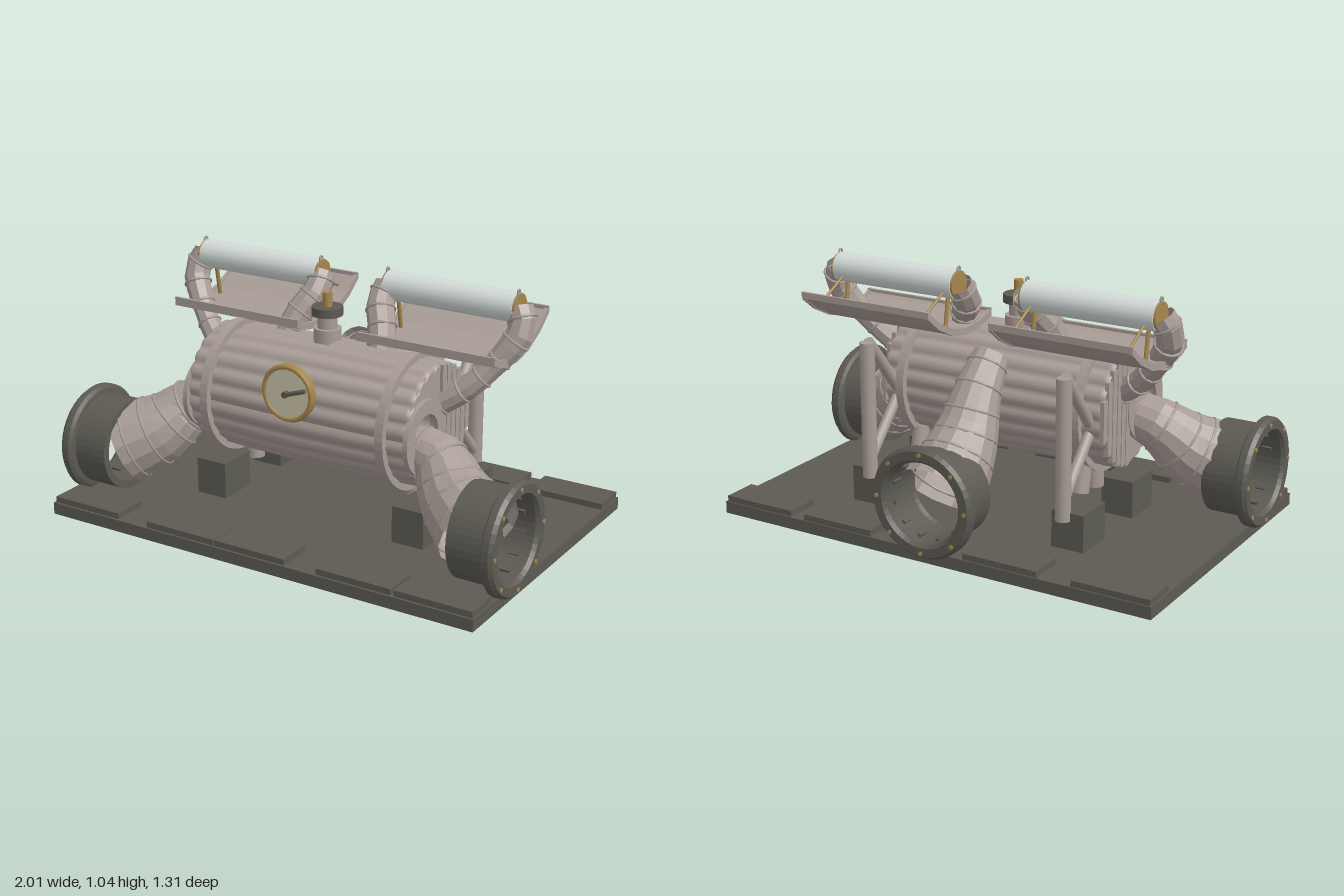
import * as THREE from 'three';

const V = (x, y, z) => new THREE.Vector3(x, y, z);
const mat = (name, color, side = THREE.FrontSide) => {
  const m = new THREE.MeshStandardMaterial({ color, side });
  m.name = name;
  return m;
};

export function createModel() {
  const model = new THREE.Group();
  model.name = 'boilerMachine';
  const steel = mat('warm grey steel', 0xa89c96, THREE.DoubleSide);
  const iron = mat('dark iron', 0x5c5a52, THREE.DoubleSide);
  const brass = mat('brass', 0xa5874c);
  const glass = mat('pale glass', 0xd3dbd8);
  const cream = mat('cream dial', 0xcbc6aa);

  const add = (name, geo, material, x = 0, y = 0, z = 0, parent = model) => {
    const m = new THREE.Mesh(geo, material);
    m.name = name;
    m.position.set(x, y, z);
    parent.add(m);
    return m;
  };
  const box = (name, material, w, h, d, x, y, z) =>
    add(name, new THREE.BoxGeometry(w, h, d), material, x, y, z);
  const flat = (geo) => {
    const g = geo.toNonIndexed();
    g.computeVertexNormals();
    return g;
  };
  // Straight rod between two points
  const rod = (name, material, a, b, r, sides = 12) => {
    const m = add(name, new THREE.CylinderGeometry(r, r, a.distanceTo(b), sides), material);
    m.position.copy(a).lerp(b, 0.5);
    m.quaternion.setFromUnitVectors(V(0, 1, 0), b.clone().sub(a).normalize());
  };
  // Faceted pipe of varying radius with thin seam hoops
  const pipe = (name, points, radii, sides, segments, hoops) => {
    const g = new THREE.Group();
    g.name = name;
    model.add(g);
    const curve = new THREE.CatmullRomCurve3(points);
    const radiusAt = (t) => {
      const f = t * (radii.length - 1), i = Math.min(Math.floor(f), radii.length - 2);
      return THREE.MathUtils.lerp(radii[i], radii[i + 1], f - i);
    };
    const geo = new THREE.TubeGeometry(curve, segments, 1, sides);
    const p = geo.attributes.position, v = V(0, 0, 0);
    for (let i = 0; i < p.count; i++) {
      const t = Math.floor(i / (sides + 1)) / segments, c = curve.getPointAt(t);
      v.fromBufferAttribute(p, i).sub(c).multiplyScalar(radiusAt(t)).add(c);
      p.setXYZ(i, v.x, v.y, v.z);
    }
    add('pipeWall', flat(geo), steel, 0, 0, 0, g);
    for (let k = 0; k < hoops; k++) {
      const t = (k + 0.5) / hoops, c = curve.getPointAt(t);
      const h = add('seamHoop', new THREE.TorusGeometry(radiusAt(t) * 0.98, 0.006, 6, 24), steel, c.x, c.y, c.z, g);
      h.quaternion.setFromUnitVectors(V(0, 0, 1), curve.getTangentAt(t));
    }
  };

  // Base plate and raised pads
  box('basePlate', iron, 1.95, 0.05, 1.285, 0, 0.025, 0.01);
  for (const x of [-0.805, -0.335, -0.005, 0.465, 0.805]) box('frontPad', iron, 0.325, 0.025, 0.15, x, 0.0625, 0.568);
  for (const x of [-0.805, -0.335, 0.415, 0.805]) box('rearPad', iron, 0.325, 0.025, 0.15, x, 0.0625, -0.552);

  // Boiler barrel with bulging staves
  const BY = 0.515, BZ = 0.09, STAVES = 22;
  const profile = [[0.235, -0.51], [0.25, -0.49], [0.257, -0.25], [0.261, 0], [0.257, 0.25], [0.25, 0.49], [0.235, 0.51]];
  const barrel = new THREE.LatheGeometry(profile.map(([r, y]) => new THREE.Vector2(r, y)), STAVES * 6);
  const bp = barrel.attributes.position;
  for (let i = 0; i < bp.count; i++) {
    const a = Math.atan2(bp.getX(i), bp.getZ(i));
    const k = 0.955 + 0.05 * Math.abs(Math.sin(a * STAVES / 2));
    bp.setXYZ(i, bp.getX(i) * k, bp.getY(i), bp.getZ(i) * k);
  }
  barrel.computeVertexNormals();
  add('boilerBarrel', barrel, steel, 0, BY, BZ).rotation.z = Math.PI / 2;

  // Circular plate with an offset hole, facing along x
  const plate = (name, r, hole, hz, x, y, z, depth) => {
    const s = new THREE.Shape();
    s.absarc(0, 0, r, 0, Math.PI * 2, false);
    const cut = new THREE.Path();
    cut.absarc(hz, 0, hole, 0, Math.PI * 2, true);
    s.holes.push(cut);
    const geo = new THREE.ExtrudeGeometry(s, { depth, bevelEnabled: false, curveSegments: 32 });
    geo.translate(0, 0, -depth / 2).rotateY(-Math.PI / 2);
    add(name, geo, steel, x, y, z);
  };

  // Flared outlet with flange, opening along local +y
  const outlet = (name) => {
    const g = new THREE.Group();
    g.name = name;
    model.add(g);
    const pts = [[0.16, 0], [0.19, 0], [0.19, 0.15], [0.21, 0.153], [0.225, 0.163], [0.225, 0.19], [0.213, 0.205], [0.178, 0.205], [0.165, 0.19], [0.165, 0.02], [0.16, 0]];
    const shell = new THREE.LatheGeometry(pts.map(([r, y]) => new THREE.Vector2(r, y)), 40);
    add('outletShell', flat(shell), iron, 0, 0, 0, g);
    for (let i = 0; i < 8; i++) {
      const a = i * Math.PI / 4;
      add('flangeBolt', new THREE.CylinderGeometry(0.009, 0.009, 0.012, 6), brass, 0.2 * Math.cos(a), 0.204, 0.2 * Math.sin(a), g);
    }
    for (let i = 0; i < 12; i++) {
      const a = (i + 0.5) * Math.PI / 6;
      add('innerStud', new THREE.BoxGeometry(0.016, 0.04, 0.016), iron, 0.162 * Math.cos(a), 0.13, 0.162 * Math.sin(a), g).rotation.y = -a;
    }
    return g;
  };

  // Curved reflector tray cross-section in z and y
  const trayShape = (t) => {
    const top = [[0.088, 0.82], [0.06, 0.803], [0, 0.787], [-0.1, 0.78], [-0.2, 0.8], [-0.3, 0.85], [-0.37, 0.905]];
    const low = top.map(([z, y]) => [z, y - t]).reverse();
    return new THREE.Shape([...top, ...low].map(([z, y]) => new THREE.Vector2(z, y)));
  };
  const tray = (name, x0, x1, t, lift) => {
    const geo = new THREE.ExtrudeGeometry(trayShape(t), { depth: x1 - x0, bevelEnabled: false });
    geo.rotateY(-Math.PI / 2);
    add(name, geo, steel, x1, lift, 0);
  };

  for (const s of [-1, 1]) {
    // Boiler ends, bands and end slats
    plate('boilerEnd', 0.235, 0.092, 0.11, s * 0.495, BY, BZ, 0.02);
    plate('inletFlange', 0.15, 0.092, 0, s * 0.512, 0.5, 0.2, 0.02);
    for (let i = 0; i < 6; i++) {
      const z = 0.055 - i * 0.038, h = 2 * Math.sqrt(0.24 ** 2 - (z - BZ) ** 2);
      box('endSlat', steel, 0.018, h, 0.031, s * 0.509, BY, z);
    }
    const bandProfile = [[0.25, -0.018], [0.278, -0.018], [0.278, 0.018], [0.25, 0.018], [0.25, -0.018]];
    const band = new THREE.LatheGeometry(bandProfile.map(([r, y]) => new THREE.Vector2(r, y)), 48);
    add('boilerBand', flat(band), steel, s * 0.407, BY, BZ).rotation.z = Math.PI / 2;

    // Feet blocks, drain stubs and rear props
    for (const z of [0.155, -0.253]) box('footBlock', iron, 0.14, 0.155, 0.175, s * 0.468, 0.125, z);
    rod('drainStub', steel, V(s * 0.385, 0.175, 0.035), V(s * 0.385, 0.3, 0.035), 0.036);
    rod('drainStub', steel, V(s * 0.385, 0.185, -0.09), V(s * 0.385, 0.32, -0.06), 0.036);
    rod('propPost', steel, V(s * 0.45, 0.17, -0.343), V(s * 0.45, 0.74, -0.343), 0.031);
    rod('propBrace', steel, V(s * 0.45, 0.74, -0.335), V(s * 0.45, 0.5, -0.14), 0.024);
    rod('propBrace', steel, V(s * 0.45, 0.25, -0.335), V(s * 0.45, 0.46, -0.14), 0.022);

    // Side elbow and outlet
    pipe('sideElbow', [V(s * 0.46, 0.45, 0.195), V(s * 0.58, 0.42, 0.2), V(s * 0.69, 0.32, 0.27), V(s * 0.83, 0.245, 0.345)],
      [0.088, 0.115, 0.15, 0.172], 14, 8, 5);
    const out = outlet('sideOutlet');
    out.position.set(s * 0.793, 0.245, 0.345);
    out.rotation.z = -s * Math.PI / 2;

    // Tube arms carrying the lamp
    pipe('outerArm', [V(s * 0.46, 0.57, 0.05), V(s * 0.6, 0.665, 0.01), V(s * 0.71, 0.79, -0.05), V(s * 0.765, 0.9, -0.1), V(s * 0.735, 0.97, -0.125)],
      [0.055, 0.05, 0.045, 0.055, 0.055], 9, 10, 6);
    pipe('innerArm', [V(s * 0.22, 0.66, 0.06), V(s * 0.205, 0.8, 0), V(s * 0.15, 0.91, -0.08), V(s * 0.155, 0.97, -0.125)],
      [0.06, 0.055, 0.058, 0.055], 9, 8, 5);

    // Glass lamp tube with brass end caps and hanging eyes
    add('lampTube', new THREE.CylinderGeometry(0.06, 0.06, 0.57, 20), glass, s * 0.445, 0.968, -0.125).rotation.z = Math.PI / 2;
    for (const x of [0.157, 0.733]) {
      add('lampCap', new THREE.CylinderGeometry(0.056, 0.056, 0.012, 20), brass, s * x, 0.968, -0.125).rotation.z = Math.PI / 2;
      add('lampEye', new THREE.TorusGeometry(0.01, 0.004, 6, 12), steel, s * x, 1.03, -0.12).rotation.y = Math.PI / 2;
    }

    // Reflector tray with raised rims and brass stays
    const span = (a, b) => (s > 0 ? [a, b] : [-b, -a]);
    tray('reflectorTray', ...span(0.14, 0.74), 0.02, 0);
    for (const x of [0.135, 0.73]) tray('trayRim', ...span(x, x + 0.015), 0.03, 0.007);
    box('trayFrontLip', steel, 0.61, 0.035, 0.012, s * 0.44, 0.808, 0.083);
    box('trayRearLip', steel, 0.61, 0.025, 0.012, s * 0.44, 0.9, -0.367);
    for (const x of [0.2, 0.69]) {
      rod('trayStay', brass, V(s * x, 0.95, -0.15), V(s * x, 0.862, -0.315), 0.006, 8);
      rod('lampStay', brass, V(s * x, 0.785, -0.155), V(s * x, 0.93, -0.13), 0.009, 8);
    }
  }

  // Rear downpipe and outlet
  pipe('rearPipe', [V(0, 0.7, -0.13), V(0, 0.58, -0.235), V(0, 0.4, -0.34), V(0, 0.25, -0.49)],
    [0.075, 0.1, 0.14, 0.172], 14, 8, 6);
  const rear = outlet('rearOutlet');
  rear.position.set(0, 0.245, -0.448);
  rear.rotation.x = -Math.PI / 2;

  // Safety valve on top
  add('valveBase', new THREE.CylinderGeometry(0.056, 0.056, 0.08, 20), steel, 0, 0.78, 0.08);
  add('valveNeck', new THREE.CylinderGeometry(0.04, 0.04, 0.08, 20), steel, 0, 0.84, 0.08);
  add('valveFlange', new THREE.CylinderGeometry(0.063, 0.063, 0.035, 20), iron, 0, 0.89, 0.08);
  add('valveStem', new THREE.CylinderGeometry(0.02, 0.02, 0.06, 16), brass, 0, 0.935, 0.08);

  // Pressure gauge
  const GY = 0.63;
  const gauge = (name, r, h, z, m) => {
    add(name, new THREE.CylinderGeometry(r, r, h, 32), m, 0, GY, z).rotation.x = Math.PI / 2;
  };
  gauge('gaugeMount', 0.06, 0.06, 0.32, steel);
  gauge('gaugeCase', 0.114, 0.028, 0.355, brass);
  gauge('gaugeDial', 0.1, 0.008, 0.368, cream);
  add('gaugeRim', new THREE.TorusGeometry(0.107, 0.011, 8, 40), brass, 0, GY, 0.367);
  gauge('gaugeHub', 0.013, 0.024, 0.382, iron);
  rod('gaugeNeedle', iron, V(-0.01, GY - 0.004, 0.384), V(0.09, GY + 0.03, 0.384), 0.009, 8);

  return model;
}
